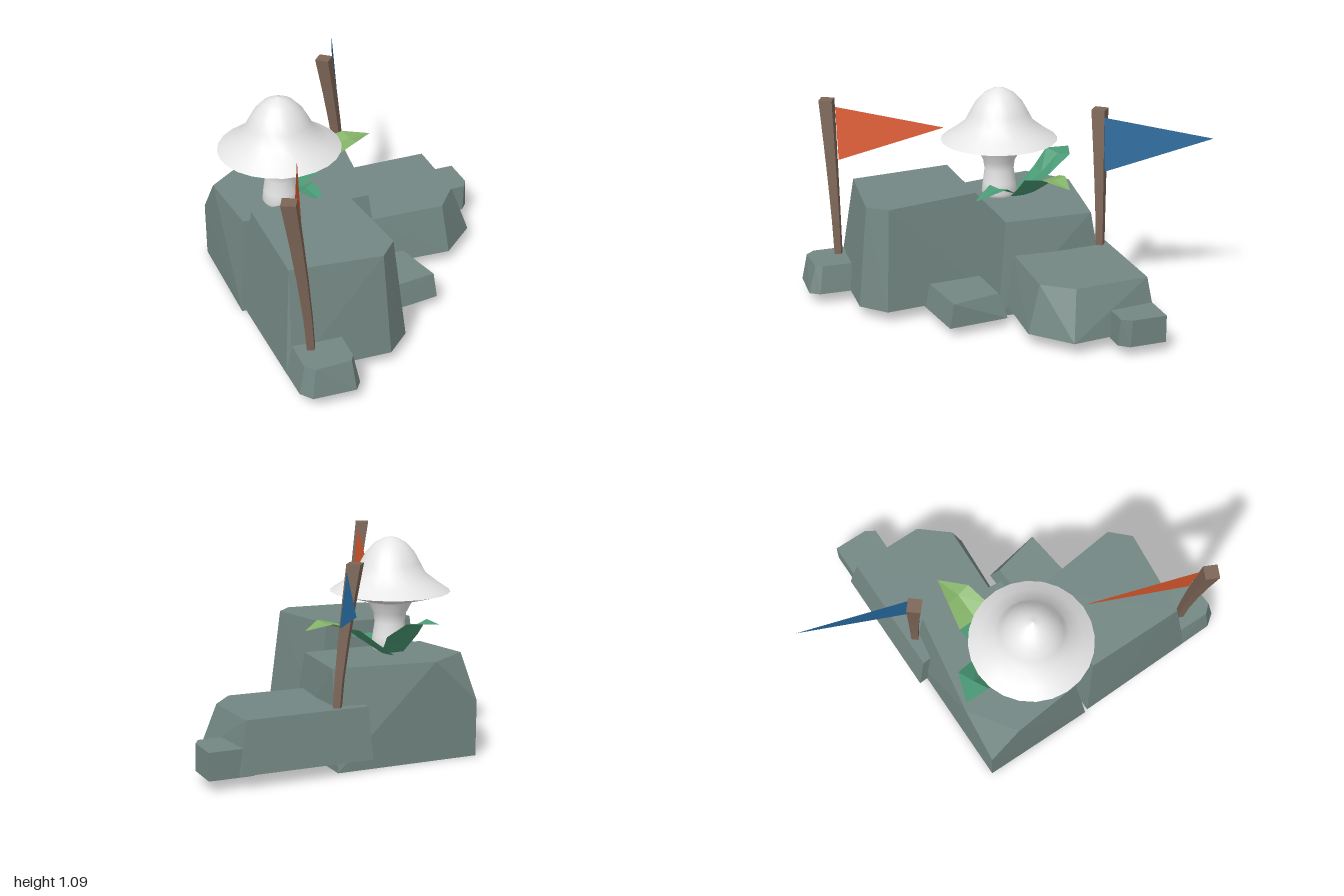
import * as THREE from 'three';
import { ConvexGeometry } from 'three/addons/geometries/ConvexGeometry.js';

const mat = (name, hex, opts = {}) => {
  const m = new THREE.MeshStandardMaterial({ color: hex, ...opts });
  m.name = name;
  return m;
};

export function createModel() {
  const group = new THREE.Group();
  const stone = mat('stone', 0x738783, { flatShading: true });
  const wood = mat('wood', 0x7c6556, { flatShading: true });
  const white = mat('mushroomWhite', 0xe6e6e6, { side: THREE.DoubleSide });
  const teal = mat('tealLeaf', 0x4a9a76, { flatShading: true, side: THREE.DoubleSide });
  const green = mat('lightLeaf', 0x85b468, { flatShading: true, side: THREE.DoubleSide });
  const orange = mat('orangeCloth', 0xdc592f, { flatShading: true, side: THREE.DoubleSide });
  const blue = mat('blueCloth', 0x27699c, { flatShading: true, side: THREE.DoubleSide });

  const add = (name, geometry, material) => {
    const mesh = new THREE.Mesh(geometry, material);
    mesh.name = name;
    group.add(mesh);
    return mesh;
  };
  const triangles = (pts) => {
    const g = new THREE.BufferGeometry().setFromPoints(pts);
    g.computeVertexNormals();
    return g;
  };

  // Rocks: hull between a ground outline and a smaller, slightly tilted top outline ([x, z] pairs)
  const rock = (name, y0, y1, tilt, bottom, top, extra = []) => {
    const pts = bottom.map(([x, z]) => new THREE.Vector3(x, y0, z));
    top.forEach(([x, z]) => pts.push(new THREE.Vector3(x, y1 + tilt * z, z)));
    extra.forEach((p) => pts.push(new THREE.Vector3(...p)));
    add(name, new ConvexGeometry(pts), stone);
  };
  rock('baseRock', 0, 0.494, -0.035,
    [[-0.715, 0.12], [0.055, 0.12], [0.055, -0.475], [-0.715, -0.475]],
    [[-0.67, 0.06], [0, 0.06], [0.05, -0.39], [-0.48, -0.475], [-0.71, -0.31]],
    [[-0.715, 0.29, -0.475]]);
  rock('tallRock', 0.06, 0.615, -0.035,
    [[-0.72, 0.125], [-0.705, 0.76], [-0.68, 0.775], [-0.18, 0.795], [-0.055, 0.68], [-0.11, 0.125]],
    [[-0.66, 0.165], [-0.655, 0.69], [-0.2, 0.74], [-0.11, 0.645], [-0.17, 0.165]]);
  rock('lowRock', 0.065, 0.314, -0.025,
    [[-0.11, -0.53], [0.585, -0.53], [0.635, -0.07], [0.445, 0.1], [0, 0.075], [-0.08, 0]],
    [[-0.1, -0.49], [0.545, -0.49], [0.55, -0.11], [0.43, 0.035], [0, 0.02], [-0.07, -0.05]]);
  rock('sidePebble', 0.055, 0.195, 0,
    [[0.51, -0.51], [0.74, -0.51], [0.74, -0.32], [0.7, -0.27], [0.51, -0.27]],
    [[0.55, -0.51], [0.74, -0.51], [0.74, -0.33], [0.71, -0.28], [0.55, -0.28]]);
  rock('middlePebble', 0.05, 0.175, 0,
    [[-0.14, 0.14], [-0.1, 0.475], [0.225, 0.435], [0.195, 0.12]],
    [[-0.1, 0.17], [-0.08, 0.445], [0.215, 0.41], [0.155, 0.155]]);
  rock('frontPebble', 0.06, 0.205, 0,
    [[-0.705, 0.74], [-0.7, 0.93], [-0.655, 0.99], [-0.44, 1], [-0.405, 0.95], [-0.4, 0.74]],
    [[-0.67, 0.75], [-0.67, 0.92], [-0.63, 0.965], [-0.45, 0.96], [-0.43, 0.925], [-0.425, 0.75]]);

  // Poles: square posts that lean over and widen towards the top
  const pole = (name, y0, foot, head, turn) => {
    const h = 1.035 - y0;
    const g = new THREE.BoxGeometry(0.07, h, 0.07, 1, 4, 1);
    const p = g.attributes.position;
    g.rotateY(turn);
    for (let i = 0; i < p.count; i++) {
      const t = THREE.MathUtils.clamp(p.getY(i) / h + 0.5, 0, 1);
      const s = 0.5 + 0.5 * t ** 1.4;
      const k = t ** 1.35;
      p.setXYZ(i,
        p.getX(i) * s + foot[0] + (head[0] - foot[0]) * k,
        y0 + t * h,
        p.getZ(i) * s + foot[1] + (head[1] - foot[1]) * k);
    }
    g.computeVertexNormals();
    add(name, g, wood);
  };
  pole('frontPole', 0.17, [-0.59, 0.8], [-0.685, 0.81], -0.45);
  pole('backPole', 0.28, [0.05, -0.445], [-0.035, -0.465], -0.7);

  // Pennants
  const flag = (name, x, z, material) => add(name, triangles([
    new THREE.Vector3(x, 1, z),
    new THREE.Vector3(x + 0.035, 0.72, z),
    new THREE.Vector3(x + 0.2, 0.89, z - 0.53),
  ]), material);
  flag('frontFlag', -0.645, 0.775, orange);
  flag('backFlag', 0.01, -0.465, blue);

  // Mushroom: smooth lathed cap, its underside and the stem
  const lathe = (name, profile) => {
    const g = new THREE.LatheGeometry(profile.map(([r, y]) => new THREE.Vector2(r, y)), 24);
    add(name, g, white).position.set(-0.43, 0, -0.055);
  };
  lathe('mushroomCap', [[0.31, 0.805], [0.25, 0.845], [0.185, 0.895], [0.155, 0.95],
    [0.125, 1.005], [0.08, 1.053], [0.04, 1.075], [0, 1.087]]);
  lathe('mushroomGills', [[0.11, 0.75], [0.31, 0.805]]);
  lathe('mushroomStem', [[0, 0.485], [0.075, 0.485], [0.095, 0.515], [0.088, 0.57],
    [0.078, 0.64], [0.085, 0.69], [0.12, 0.757]]);

  // Leaves: folded strips along a spine of [x, y, z, halfWidth], ending in a point;
  // the bands after the first tealBands are lighter
  const leaf = (name, spine, tealBands) => {
    const rows = spine.map(([x, y, z, w], i) => {
      const a = spine[Math.max(i - 1, 0)], b = spine[Math.min(i + 1, spine.length - 1)];
      const side = new THREE.Vector3(b[2] - a[2], 0, a[0] - b[0]).normalize().multiplyScalar(w);
      const mid = new THREE.Vector3(x, y, z);
      const lift = new THREE.Vector3(0, w * 0.15, 0);
      return [mid.clone().add(side).add(lift), mid, mid.clone().sub(side).add(lift)];
    });
    const base = [], tip = [];
    for (let i = 0; i < rows.length - 1; i++) {
      const out = i < tealBands ? base : tip;
      const r = rows[i], s = rows[i + 1];
      for (let j = 0; j < 2; j++) {
        out.push(r[j], s[j], r[j + 1]);
        if (i < rows.length - 2) out.push(r[j + 1], s[j], s[j + 1]);
      }
    }
    add(name + 'Base', triangles(base), teal);
    if (tip.length) add(name + 'Tip', triangles(tip), green);
  };
  leaf('rightLeaf', [[-0.36, 0.49, -0.16, 0.07], [-0.24, 0.57, -0.18, 0.09],
    [-0.14, 0.645, -0.19, 0.1], [0, 0.69, -0.2, 0.07], [0.13, 0.672, -0.24, 0]], 2);
  leaf('backLeaf', [[-0.4, 0.49, -0.15, 0.06], [-0.39, 0.6, -0.28, 0.09],
    [-0.415, 0.69, -0.385, 0.085], [-0.49, 0.7, -0.475, 0]], 3);
  leaf('frontLeaf', [[-0.39, 0.5, -0.1, 0.04], [-0.31, 0.565, -0.01, 0.06],
    [-0.24, 0.53, 0.15, 0]], 2);

  return group;
}
